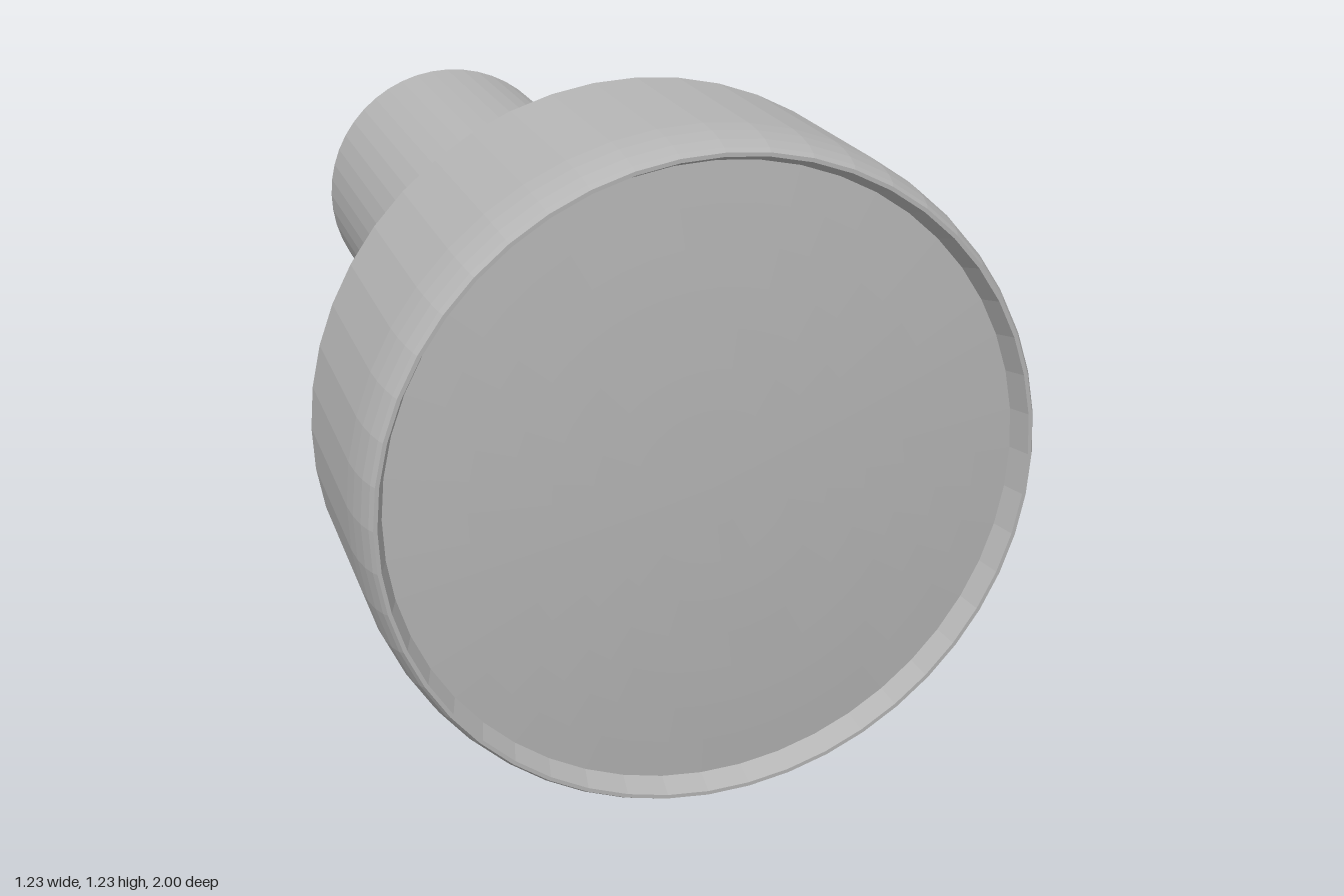
import * as THREE from 'three';

const AXIS_Y = 0.615; // height of the torch axis
const SIDES = 48;

export function createModel() {
  const group = new THREE.Group();
  group.name = 'torch';
  const grey = new THREE.MeshStandardMaterial({ color: 0xb4b4b4, flatShading: true });
  grey.name = 'grey body';

  // Turn a profile of [radius, z] points, running from back to front, around the z axis
  const turned = (name, profile) => {
    const geometry = new THREE.LatheGeometry(profile.map(([r, z]) => new THREE.Vector2(r, z)), SIDES);
    geometry.rotateX(Math.PI / 2);
    const mesh = new THREE.Mesh(geometry, grey);
    mesh.name = name;
    mesh.position.y = AXIS_Y;
    group.add(mesh);
  };

  // Quarter ellipse sweeping from the handle out to the head
  const flare = [];
  for (let i = 0; i <= 16; i++) {
    const a = (i / 16) * Math.PI / 2;
    flare.push([0.613 - 0.307 * Math.cos(a), 0.2 + 0.335 * Math.sin(a)]);
  }

  // Shallow dome closing the front
  const lens = [];
  for (let i = 0; i <= 8; i++) {
    const r = 0.568 * (1 - i / 8);
    lens.push([r, 0.96 + 0.025 * (1 - (r / 0.568) ** 2)]);
  }

  turned('handle', [[0, -1], [0.306, -1], [0.306, 0.2]]);
  turned('flare', flare);
  turned('head', [
    [0.613, 0.535], [0.613, 0.89], [0.61, 0.93], [0.604, 0.965], [0.596, 0.99],
    [0.59, 1], [0.583, 1], [0.568, 0.96],
  ]);
  turned('lens', lens);

  // Switch under the handle, its lower edges slightly bevelled
  const outline = new THREE.Shape();
  outline.moveTo(-0.075, 0.33);
  outline.lineTo(-0.075, 0.273);
  outline.lineTo(-0.067, 0.265);
  outline.lineTo(0.067, 0.265);
  outline.lineTo(0.075, 0.273);
  outline.lineTo(0.075, 0.33);
  const button = new THREE.Mesh(
    new THREE.ExtrudeGeometry(outline, { depth: 0.305, bevelEnabled: false }), grey);
  button.name = 'switch';
  button.position.z = -0.475;
  group.add(button);

  return group;
}
